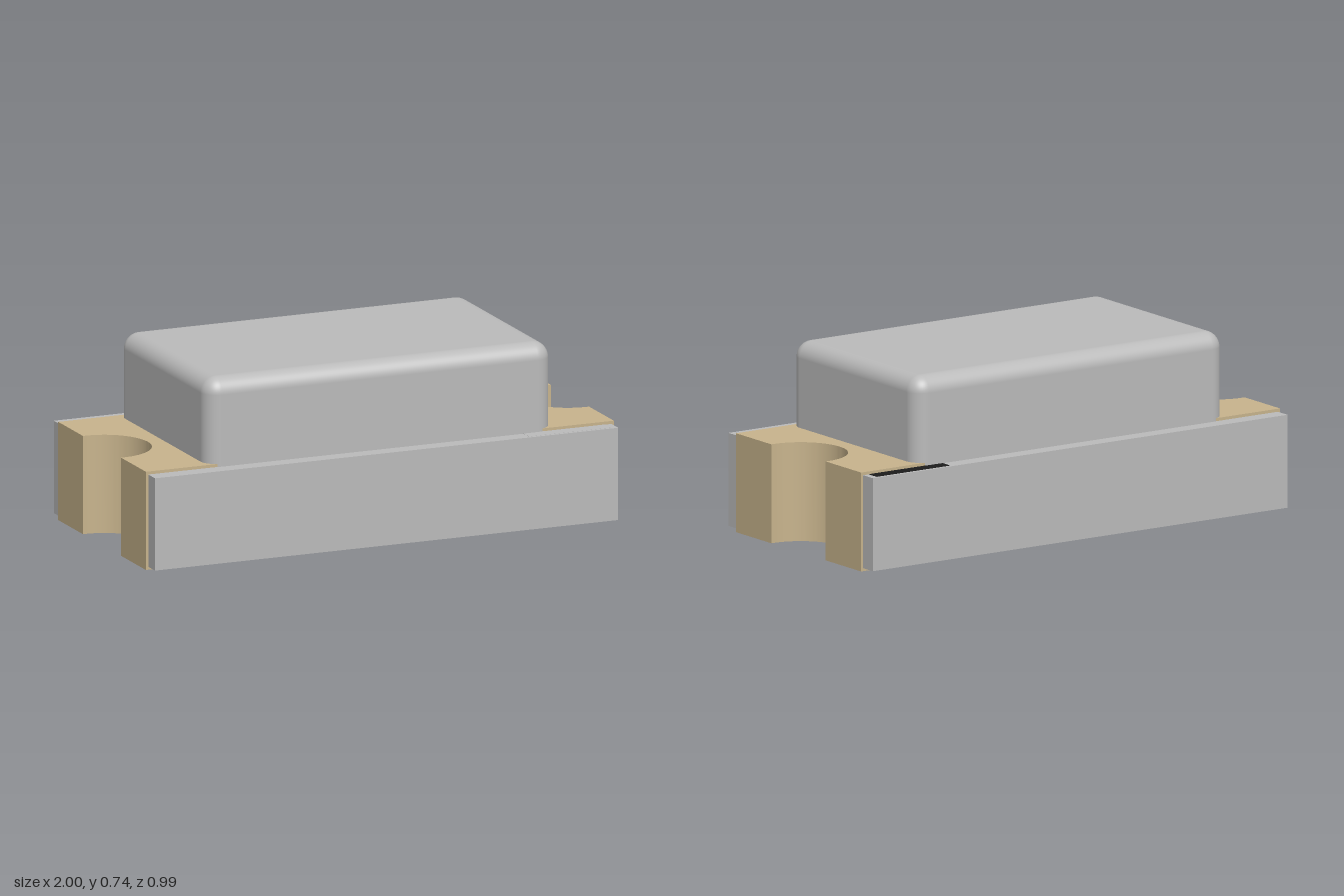
import * as THREE from 'three';
import { RoundedBoxGeometry } from 'three/addons/geometries/RoundedBoxGeometry.js';
import { toCreasedNormals } from 'three/addons/utils/BufferGeometryUtils.js';

const material = (name, color) => {
  const m = new THREE.MeshStandardMaterial({ color });
  m.name = name;
  return m;
};

// Extrude a plan outline (x, -z) upwards from y0 to y1
function slab(shape, y0, y1) {
  const g = new THREE.ExtrudeGeometry(shape, { depth: y1 - y0, bevelEnabled: false, curveSegments: 32 });
  g.rotateX(-Math.PI / 2);
  g.translate(0, y0, 0);
  return toCreasedNormals(g, 0.5);
}

export function createModel() {
  const model = new THREE.Group();
  model.name = 'chipComponent';
  const boardGrey = material('boardGrey', 0xbababa);
  const bodyGrey = material('bodyGrey', 0xbababa);
  const gold = material('dullGold', 0xc7b38c);
  const black = material('markBlack', 0x1c1c1c);

  const add = (name, geometry, mat, x = 0, y = 0, z = 0) => {
    const mesh = new THREE.Mesh(geometry, mat);
    mesh.name = name;
    mesh.position.set(x, y, z);
    model.add(mesh);
    return mesh;
  };

  // Board with a half-round notch in each end
  const X = 0.99, Z = 0.494, R = 0.197;
  const outline = new THREE.Shape();
  outline.moveTo(-X, -Z);
  outline.lineTo(X, -Z);
  outline.lineTo(X, -R);
  outline.absarc(X, 0, R, -Math.PI / 2, Math.PI / 2, true);
  outline.lineTo(X, Z);
  outline.lineTo(-X, Z);
  outline.lineTo(-X, R);
  outline.absarc(-X, 0, R, Math.PI / 2, -Math.PI / 2, true);
  outline.closePath();
  add('board', slab(outline, 0.012, 0.385), boardGrey);

  // Wrap-around metal terminals, the second turned to the other end
  const W = 0.428, r = 0.186;
  const end = new THREE.Shape();
  end.moveTo(0.615, -W);
  end.lineTo(1, -W);
  end.lineTo(1, -r);
  end.lineTo(X, -r);
  end.absarc(X, 0, r, -Math.PI / 2, Math.PI / 2, true);
  end.lineTo(1, r);
  end.lineTo(1, W);
  end.lineTo(0.615, W);
  end.closePath();
  const terminal = slab(end, 0, 0.397);
  add('leftTerminal', terminal, gold);
  add('rightTerminal', terminal, gold).rotation.y = Math.PI;

  // Rounded body, its lower end sunk into the board
  add('body', new RoundedBoxGeometry(1.48, 0.54, 0.862, 6, 0.065), bodyGrey, 0, 0.47, 0);

  // Polarity mark at the back and its plain counterpart at the front
  const strip = new THREE.BoxGeometry(0.35, 0.003, 0.055);
  add('polarityMark', strip, black, 0.788, 0.3845, -0.454);
  add('plainStrip', strip, boardGrey, 0.788, 0.3842, 0.454);

  return model;
}
